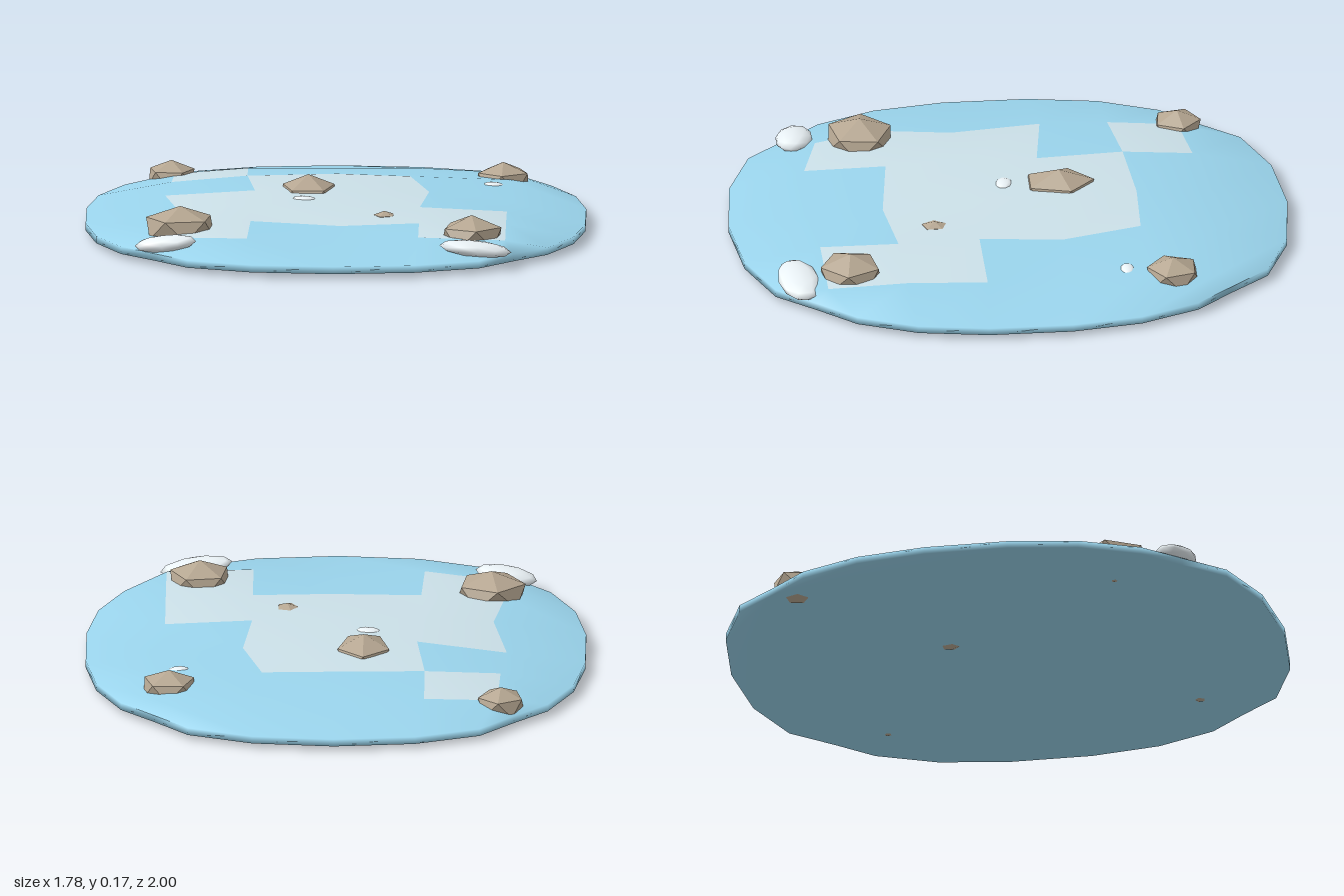
import * as THREE from 'three';

const paint = (color, extra = {}) => new THREE.MeshStandardMaterial({ color, ...extra });

// Grid of the slab: 7 columns by 8 rows, outer ring is the rounded rim
const COLS = 7, ROWS = 8;
const columnX = [-0.6, -0.31, 0, 0.3, 0.61];
const rowZ = [-0.69, -0.44, -0.16, 0.13, 0.42, 0.7];
const endX = [0.64, 0.52, 0.29, 0];          // rim along front and back
const endZ = [0.74, 0.88, 0.97, 1];
const sideX = [0.64, 0.76, 0.85, 0.89];      // rim along the sides
const sideZ = [0.74, 0.61, 0.4, 0.15];
const heights = [
  [0.075, 0.09, 0.09, 0.09, 0.075],
  [0.09, 0.108, 0.112, 0.105, 0.095],
  [0.085, 0.112, 0.11, 0.1, 0.072],
  [0.09, 0.11, 0.105, 0.1, 0.085],
  [0.09, 0.1, 0.09, 0.095, 0.095],
  [0.082, 0.09, 0.064, 0.095, 0.085],
];
// Small shifts that make the patch borders irregular: 'row,column' -> [dx, dz]
const shifts = {
  '1,1': [0.02, 0.03], '1,2': [-0.01, 0], '2,2': [-0.01, 0], '2,1': [0.01, 0.03], '2,4': [-0.04, -0.01],
  '2,3': [0, -0.02], '3,4': [0.03, -0.01], '3,2': [0.02, 0.03], '3,1': [-0.01, -0.01],
  '4,1': [0.04, 0.02], '5,3': [0.02, 0.03], '6,1': [0.06, -0.06], '5,2': [0.01, -0.01],
};
// Cells with a pale patch, one string per row of cells
const patches = ['......', '.#....', '..##..', '.###..', '.####.', '.#..#.', '......'];

function gridPoint(r, c) {
  const sx = Math.sign(c - 3), sz = r < 4 ? -1 : 1;
  if (r === 0 || r === ROWS - 1) {
    const k = 3 - Math.abs(c - 3);
    return [sx * endX[k], 0.043, sz * endZ[k]];
  }
  if (c === 0 || c === COLS - 1) {
    const k = Math.min(r, ROWS - 1 - r);
    return [sx * sideX[k], 0.043, sz * sideZ[k]];
  }
  const [dx, dz] = shifts[`${r},${c}`] || [0, 0];
  return [columnX[c - 1] + dx, heights[r - 1][c - 1], rowZ[r - 1] + dz];
}

function makeSlab(group) {
  const points = [], iceIndex = [], patchIndex = [];
  for (let r = 0; r < ROWS; r++)
    for (let c = 0; c < COLS; c++) points.push(...gridPoint(r, c));
  const at = (r, c) => r * COLS + c;
  for (let r = 0; r < ROWS - 1; r++)
    for (let c = 0; c < COLS - 1; c++) {
      const a = at(r, c), b = at(r + 1, c), d = at(r + 1, c + 1), e = at(r, c + 1);
      (patches[r][c] === '#' ? patchIndex : iceIndex).push(a, b, d, a, d, e);
    }

  // Rim loop: along the back, down +x, along the front, up -x
  const rim = [];
  for (let c = 0; c < COLS; c++) rim.push(at(0, c));
  for (let r = 1; r < ROWS; r++) rim.push(at(r, COLS - 1));
  for (let c = COLS - 2; c >= 0; c--) rim.push(at(ROWS - 1, c));
  for (let r = ROWS - 2; r > 0; r--) rim.push(at(r, 0));

  // Thin side wall and flat underside
  const base = points.length / 3, n = rim.length;
  rim.forEach((i) => points.push(points[3 * i], 0.017, points[3 * i + 2]));
  for (let i = 0; i < n; i++) {
    const j = (i + 1) % n;
    iceIndex.push(rim[i], rim[j], base + j, rim[i], base + j, base + i);
    if (i > 0 && i < n - 1) iceIndex.push(base, base + i, base + i + 1);
  }

  // Both surfaces share normals so the shading runs across the patch borders
  const whole = new THREE.BufferGeometry();
  whole.setAttribute('position', new THREE.Float32BufferAttribute(points, 3));
  whole.setIndex([...iceIndex, ...patchIndex]);
  whole.computeVertexNormals();
  const surface = (index, color, name) => {
    const g = new THREE.BufferGeometry();
    g.setAttribute('position', whole.getAttribute('position'));
    g.setAttribute('normal', whole.getAttribute('normal'));
    g.setIndex(index);
    const mesh = new THREE.Mesh(g, paint(color));
    mesh.name = name;
    group.add(mesh);
  };
  surface(iceIndex, 0x9ad4ec, 'iceSlab');
  surface(patchIndex, 0xcbe0e8, 'frostPatches');
}

export function createModel() {
  const group = new THREE.Group();
  group.name = 'iceFloe';
  makeSlab(group);

  // Faceted rocks with one corner pointing up: x, y, z, half sizes, turn
  const rockShape = new THREE.IcosahedronGeometry(1, 0);
  rockShape.rotateZ(-Math.atan(2 / (1 + Math.sqrt(5))));
  const rockPaint = paint(0xb5a691, { flatShading: true });
  [
    [-0.55, 0.09, 0.48, 0.137, 0.077, 0.13, 0.5],
    [-0.1, 0.083, -0.19, 0.108, 0.077, 0.142, 0.3],
    [0.59, 0.077, -0.535, 0.104, 0.065, 0.104, 0.9],
    [-0.593, 0.062, -0.66, 0.093, 0.062, 0.095, 0.2],
    [0.49, 0.085, 0.61, 0.12, 0.075, 0.122, 1.1],
    [0.175, 0.088, 0.28, 0.044, 0.026, 0.052, 0.6],
  ].forEach(([x, y, z, a, h, b, turn], i) => {
    const rock = new THREE.Mesh(rockShape.clone().rotateY(turn), rockPaint);
    rock.name = `rock${i + 1}`;
    rock.position.set(x, y, z);
    rock.scale.set(a, h, b);
    group.add(rock);
  });

  // Smooth snow lumps: x, y, z, half sizes, turn, tilt
  const lumpShape = new THREE.IcosahedronGeometry(1, 1);
  const lumpPaint = paint(0xeaf2f6);
  [
    [-0.6, 0.073, 0.71, 0.113, 0.03, 0.066, -0.22, 0.12],
    [0.505, 0.072, 0.795, 0.13, 0.028, 0.075, 0.12, -0.12],
    [0.56, 0.085, -0.375, 0.04, 0.014, 0.026, 0, -0.1],
    [-0.115, 0.105, 0.005, 0.044, 0.012, 0.03, -0.2, 0],
  ].forEach(([x, y, z, a, h, b, turn, tilt], i) => {
    const lump = new THREE.Mesh(lumpShape, lumpPaint);
    lump.name = `snowLump${i + 1}`;
    lump.position.set(x, y, z);
    lump.scale.set(a, h, b);
    lump.rotation.set(0, turn, tilt);
    group.add(lump);
  });

  return group;
}
